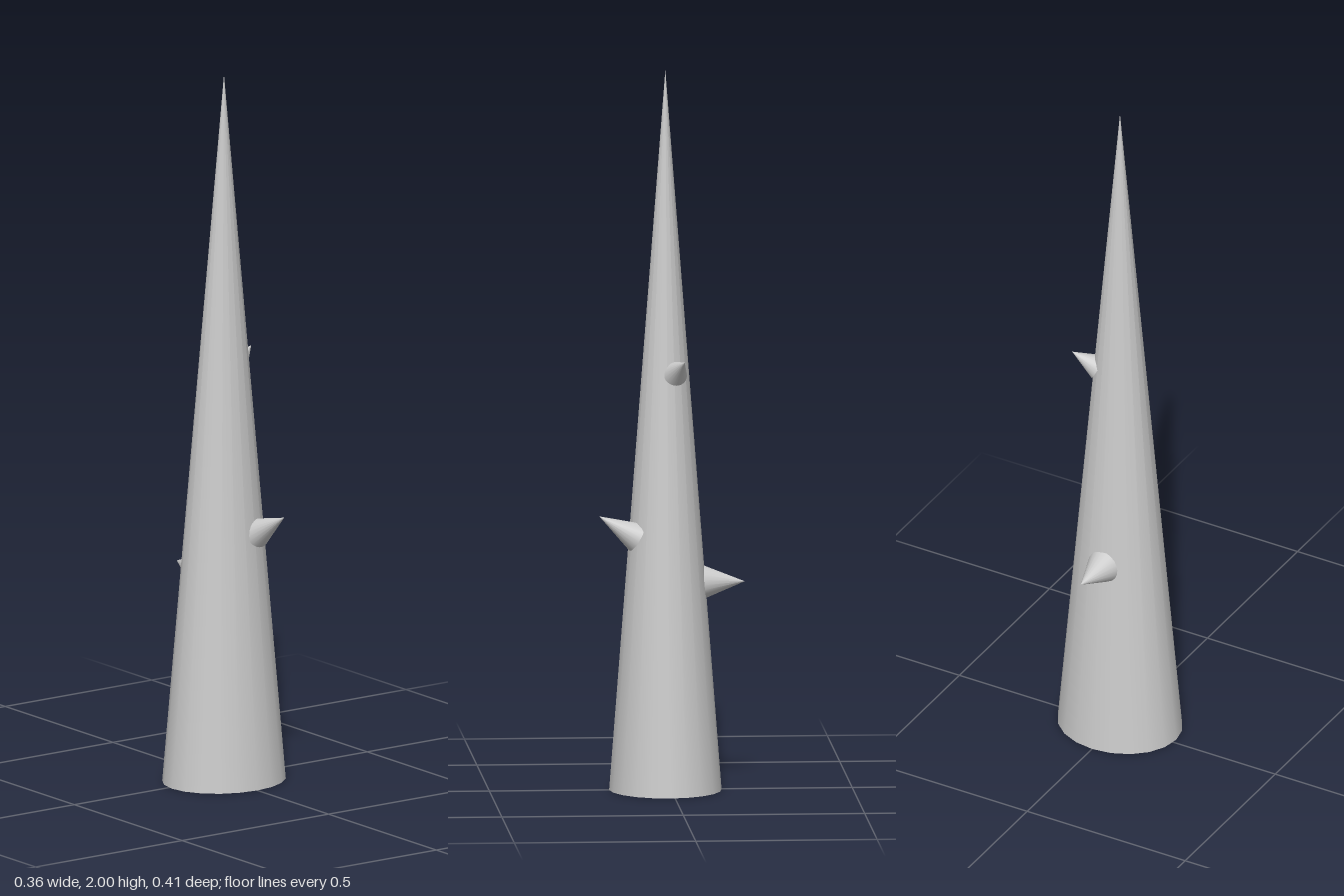
import * as THREE from 'three';

const material = new THREE.MeshStandardMaterial({ color: 0xcccccc });
const UP = new THREE.Vector3(0, 1, 0);

// Small cone running from a buried base centre to its tip
function makeThorn(name, base, tip, radius) {
  const start = new THREE.Vector3(...base);
  const axis = new THREE.Vector3(...tip).sub(start);
  const length = axis.length();
  const geometry = new THREE.ConeGeometry(radius, length, 20);
  geometry.translate(0, length / 2, 0);
  const thorn = new THREE.Mesh(geometry, material);
  thorn.name = name;
  thorn.position.copy(start);
  thorn.quaternion.setFromUnitVectors(UP, axis.normalize());
  return thorn;
}

export function createModel() {
  const model = new THREE.Group();
  model.name = 'thornedSpike';

  // Tall main spike, slightly flattened front to back
  const spike = new THREE.Mesh(new THREE.ConeGeometry(0.178, 2, 20), material);
  spike.name = 'mainSpike';
  spike.scale.z = 0.155 / 0.178;
  spike.position.set(0, 1, 0.015);
  model.add(spike);

  // Thorns growing out of the sides
  model.add(
    makeThorn('leftThorn', [0.057, 1.163, -0.007], [0.126, 1.203, -0.03], 0.036),
    makeThorn('frontThorn', [0.05, 0.708, 0.097], [0.068, 0.77, 0.202], 0.042),
    makeThorn('backThorn', [-0.006, 0.574, -0.09], [0, 0.576, -0.204], 0.047),
  );
  return model;
}
